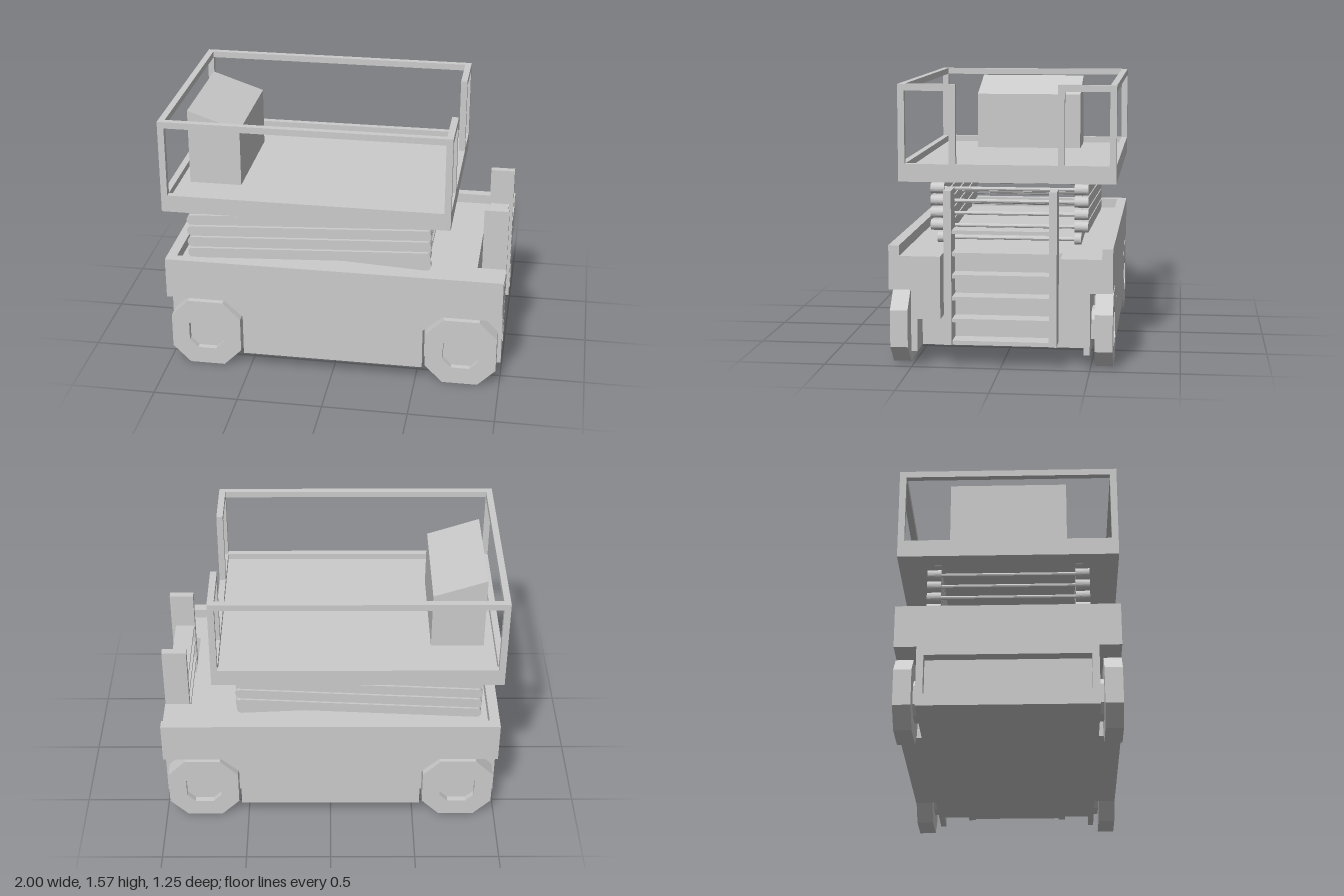
import * as THREE from 'three';

const mat = new THREE.MeshStandardMaterial({ color: 0xcccccc, flatShading: true });

function add(parent, name, geometry) {
  const mesh = new THREE.Mesh(geometry, mat);
  mesh.name = name;
  parent.add(mesh);
  return mesh;
}

// Box given by its min and max on each axis
function box(parent, name, x0, x1, y0, y1, z0, z1) {
  const g = new THREE.BoxGeometry(x1 - x0, y1 - y0, z1 - z0);
  g.translate((x0 + x1) / 2, (y0 + y1) / 2, (z0 + z1) / 2);
  return add(parent, name, g);
}

const poly = pts => new THREE.Shape(pts.map(p => new THREE.Vector2(...p)));

// Shape in the xy plane, extruded from z0 to z1
function slab(shape, z0, z1, curveSegments = 6) {
  const g = new THREE.ExtrudeGeometry(shape, { depth: z1 - z0, bevelEnabled: false, curveSegments });
  return g.translate(0, 0, z0);
}

// Square with half size r and corners cut by c
const cutSquare = (r, c) => [
  [r - c, -r], [r, -r + c], [r, r - c], [r - c, r],
  [-r + c, r], [-r, r - c], [-r, -r + c], [-r + c, -r],
];

function sideSkirtShape(top) {
  return poly([
    [-0.54, 0.09], [0.54, 0.09], [0.54, 0.34], [0.65, 0.44], [1, 0.44],
    [1, top], [-1, top], [-1, 0.44], [-0.65, 0.44], [-0.54, 0.34],
  ]);
}

function createChassis() {
  const g = new THREE.Group();
  g.name = 'chassis';
  box(g, 'chassisCore', -0.93, 0.83, 0.09, 0.63, -0.5, 0.5);
  box(g, 'rearRim', -1, -0.94, 0.63, 0.69, -0.565, 0.565);

  // End frame around a recessed panel
  const frame = poly([[-0.5, 0.09], [0.5, 0.09], [0.5, 0.63], [-0.5, 0.63]]);
  frame.holes.push(poly([[-0.46, 0.16], [-0.46, 0.39], [0.46, 0.39], [0.46, 0.16]]));
  add(g, 'endFrame', slab(frame, 0, 0.07).rotateY(Math.PI / 2).translate(-1, 0, 0));

  // Outer skirts with wheel arches, and cheeks beside the ladder bay
  for (const s of [1, -1]) {
    const span = (a, b) => (s > 0 ? [a, b] : [-b, -a]);
    add(g, 'sideSkirt', slab(sideSkirtShape(0.69), ...span(0.565, 0.625)));
    add(g, 'innerSkirt', slab(sideSkirtShape(0.63), ...span(0.5, 0.565)));
    box(g, 'bayCheek', 0.83, 1, 0.275, 0.63, ...span(0.335, 0.5));
    box(g, 'bayPost', 0.83, 1, 0.09, 0.275, ...span(0.465, 0.5));
  }
  return g;
}

function createWheel(x, side) {
  const g = new THREE.Group();
  g.name = 'wheel';
  const tyre = poly(cutSquare(0.21, 0.105));
  tyre.holes.push(poly(cutSquare(0.105, 0.05).reverse()));
  add(g, 'tyre', slab(tyre, 0.525, 0.625));
  add(g, 'hub', slab(poly(cutSquare(0.105, 0.05)), 0.49, 0.59));
  g.position.set(x, 0.21, 0);
  if (side < 0) g.rotation.y = Math.PI;
  return g;
}

function createLadder() {
  const g = new THREE.Group();
  g.name = 'ladder';
  box(g, 'ladderRail', 0.855, 1, 0.13, 1, 0.272, 0.315);
  box(g, 'ladderRail', 0.855, 1, 0.13, 1, -0.315, -0.272);
  for (let i = 0; i < 6; i++) {
    const y = 0.13 + i * 0.125;
    box(g, 'rung', 0.86, 0.975, y, y + 0.02, -0.272, 0.272);
  }
  return g;
}

// Flat bar with rounded ends between two pivots
function armGeometry(ax, ay, bx, by, z0, z1) {
  const len = Math.hypot(bx - ax, by - ay), r = 0.031;
  const s = new THREE.Shape();
  s.moveTo(0, -r);
  s.lineTo(len, -r);
  s.absarc(len, 0, r, -Math.PI / 2, Math.PI / 2, false);
  s.lineTo(0, r);
  s.absarc(0, 0, r, Math.PI / 2, Math.PI * 1.5, false);
  return slab(s, z0, z1).rotateZ(Math.atan2(by - ay, bx - ax)).translate(ax, ay, 0);
}

function createScissors() {
  const g = new THREE.Group();
  g.name = 'scissorStack';
  const xl = -0.87, xr = 0.53, base = 0.662, step = 0.072;
  for (let i = 0; i < 5; i++) {
    const lo = base + i * step, hi = lo + step;
    for (const s of [1, -1]) {
      const span = (a, b) => (s > 0 ? [a, b] : [-b, -a]);
      add(g, 'outerArm', armGeometry(xl, lo, xr, hi, ...span(0.42, 0.46)));
      add(g, 'innerArm', armGeometry(xl, hi, xr, lo, ...span(0.38, 0.42)));
    }
    // Cross rods at the pivots
    for (const [x, y] of [[xl, lo], [xr, lo], [(xl + xr) / 2, (lo + hi) / 2]]) {
      const rod = new THREE.CylinderGeometry(0.011, 0.011, 0.8, 8).rotateX(Math.PI / 2);
      add(g, 'crossRod', rod.translate(x, y, 0));
    }
  }
  return g;
}

function createPlatform() {
  const g = new THREE.Group();
  g.name = 'platform';
  const x0 = -1, x1 = 0.685, w = 0.625, t = 0.038, top = 1.565;
  box(g, 'deck', x0, x1, 1.005, 1.07, -w, w);
  box(g, 'rearKickPlate', x0, x0 + t, 1.07, 1.108, -w + t, w - t);
  box(g, 'entryKickPlate', x1 - t, x1, 1.07, 1.108, -w + t, w - t);
  box(g, 'rearTopRail', x0, x0 + t, top - t, top, -w + t, w - t);
  for (const s of [1, -1]) {
    const span = (a, b) => (s > 0 ? [a, b] : [-b, -a]);
    const edge = span(w - t, w);
    box(g, 'sideKickPlate', x0, x1, 1.07, 1.108, ...edge);
    box(g, 'sideTopRail', x0, x1, top - t, top, ...edge);
    box(g, 'rearPost', x0, x0 + t, 1.108, top - t, ...edge);
    box(g, 'entryCornerPost', x1 - t, x1, 1.108, top - t, ...edge);
    box(g, 'entryInnerPost', x1 - t, x1, 1.108, top - t, ...span(0.293, 0.331));
    box(g, 'entryTopRail', x1 - t, x1, top - t, top, ...span(0.293, w - t));
  }

  // Control console with a sloping top
  const console_ = poly([[-0.9, 1.07], [-0.59, 1.07], [-0.59, 1.42], [-0.9, 1.525]]);
  add(g, 'controlConsole', slab(console_, -0.335, 0.335));
  return g;
}

export function createModel() {
  const model = new THREE.Group();
  model.name = 'scissorLift';
  model.add(createChassis(), createLadder(), createScissors(), createPlatform());
  for (const x of [-0.767, 0.767]) for (const s of [1, -1]) model.add(createWheel(x, s));
  return model;
}
